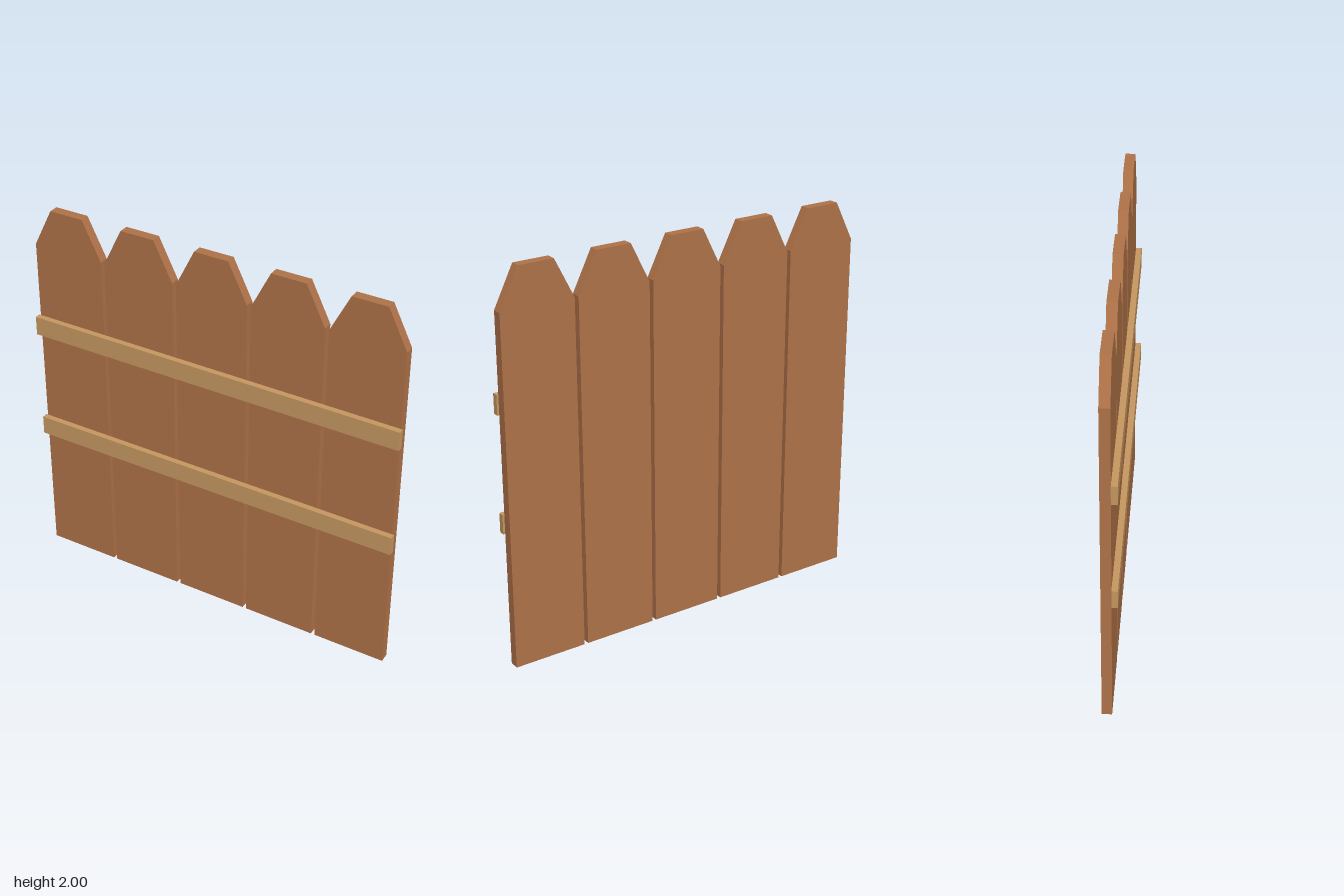
import * as THREE from 'three';

export function createModel() {
  const fence = new THREE.Group();
  fence.name = 'fence';

  const picketWood = new THREE.MeshStandardMaterial({ color: 0xb07349 });
  picketWood.name = 'brown wood';
  const railWood = new THREE.MeshStandardMaterial({ color: 0xc69860 });
  railWood.name = 'tan wood';

  // Picket outline with clipped top corners
  const outline = new THREE.Shape([
    [-0.19, 0], [0.19, 0], [0.19, 1.8], [0.09, 2], [-0.09, 2], [-0.19, 1.8],
  ].map(([x, y]) => new THREE.Vector2(x, y)));
  const picketGeometry = new THREE.ExtrudeGeometry(outline, { depth: 0.05, bevelEnabled: false });

  // Five evenly spaced pickets
  for (let i = -2; i <= 2; i++) {
    const picket = new THREE.Mesh(picketGeometry, picketWood);
    picket.name = `picket${i + 3}`;
    picket.position.set(i * 0.4, 0, -0.04);
    fence.add(picket);
  }

  // Two rails across the front
  const railGeometry = new THREE.BoxGeometry(2, 0.1, 0.03);
  for (const [name, y] of [['lowerRail', 0.75], ['upperRail', 1.35]]) {
    const rail = new THREE.Mesh(railGeometry, railWood);
    rail.name = name;
    rail.position.set(0, y, 0.025);
    fence.add(rail);
  }

  return fence;
}
